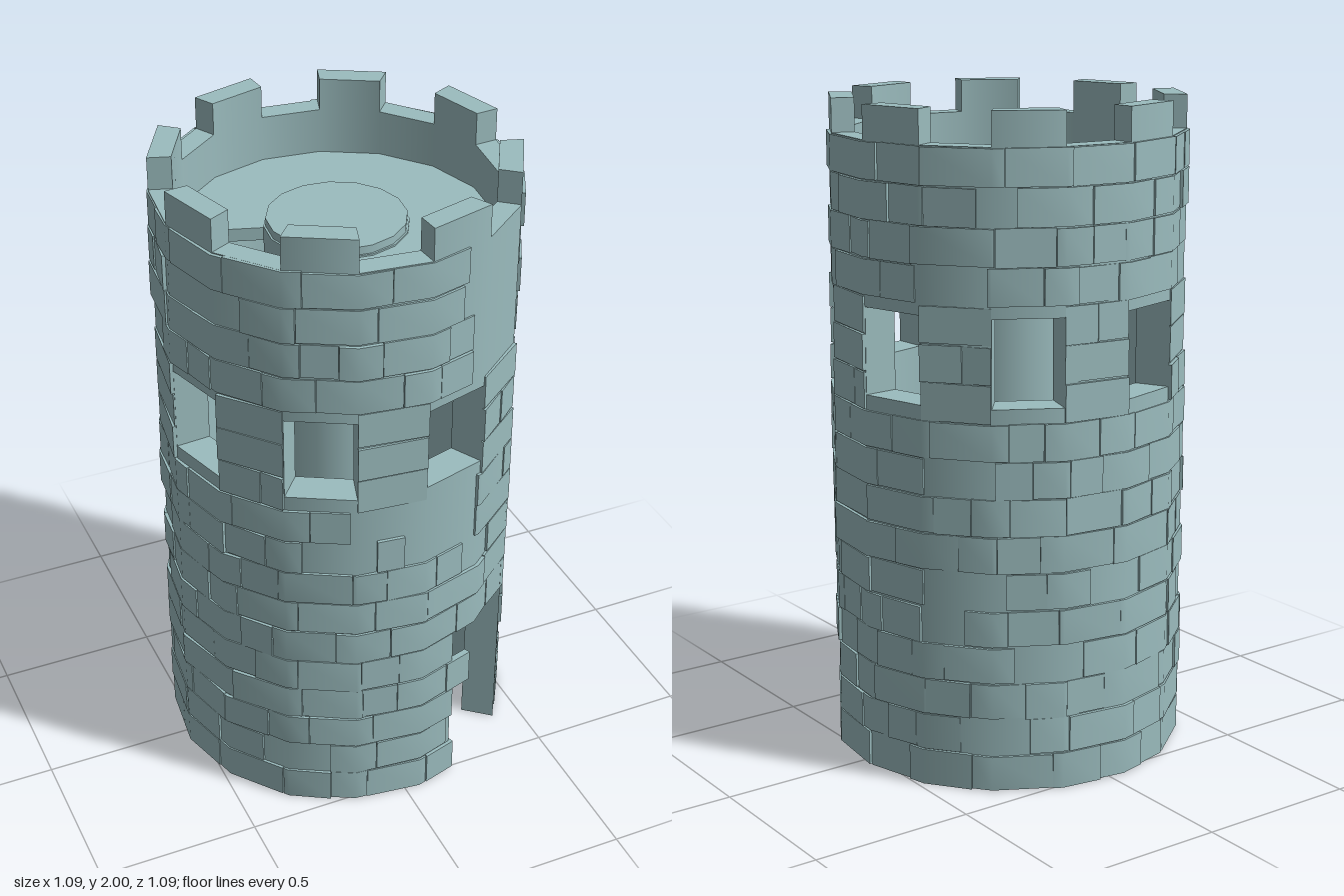
import * as THREE from 'three';
import { mergeGeometries, toCreasedNormals } from 'three/addons/utils/BufferGeometryUtils.js';

const SIDES = 16, STEP = 360 / SIDES, OFFSET = 5; // degrees, counter-clockwise seen from above
const OUT = 0.536, IN = 0.43, PARAPET_IN = 0.466;
const rad = THREE.MathUtils.degToRad;

// corner k of the sixteen-sided plan
const corner = k => OFFSET + STEP * k;

// point on the sixteen-sided outline at any angle
function onPlan(angle, r, push = 0) {
  const local = ((((angle - OFFSET) % STEP) + STEP) % STEP) - STEP / 2;
  const d = r * Math.cos(rad(STEP / 2)) / Math.cos(rad(local)) + push;
  return new THREE.Vector2(d * Math.cos(rad(angle)), d * Math.sin(rad(angle)));
}

// both ends of an arc plus every plan corner between them
function arcAngles(a0, a1) {
  const list = [a0];
  for (let k = Math.ceil((a0 - OFFSET) / STEP); corner(k) < a1 - 0.01; k++)
    if (corner(k) > a0 + 0.01) list.push(corner(k));
  return [...list, a1];
}

function extrudeUp(shape, y0, y1) {
  return new THREE.ExtrudeGeometry(shape, { depth: y1 - y0, bevelEnabled: false })
    .rotateX(-Math.PI / 2).translate(0, y0, 0);
}

// curved block between two angles; the outer face may be pushed out unevenly
function block(a0, a1, r0, r1, y0, y1, push0 = 0, push1 = 0) {
  const angles = arcAngles(a0, a1);
  const outer = angles.map(a => onPlan(a, r1, push0 + (push1 - push0) * (a - a0) / (a1 - a0)));
  const inner = angles.map(a => onPlan(a, r0)).reverse();
  return extrudeUp(new THREE.Shape([...outer, ...inner]), y0, y1);
}

const circle = r => Array.from({ length: SIDES }, (_, k) => onPlan(corner(k), r));

function ring(r0, r1, y0, y1) {
  const shape = new THREE.Shape(circle(r1));
  if (r0 > 0) shape.holes.push(new THREE.Path(circle(r0)));
  return extrudeUp(shape, y0, y1);
}

// round off shading on faces that point towards or away from the axis
function smoothRound(geo) {
  const p = geo.attributes.position, n = geo.attributes.normal;
  for (let i = 0; i < p.count; i++) {
    const len = Math.hypot(p.getX(i), p.getZ(i)) || 1;
    const x = p.getX(i) / len, z = p.getZ(i) / len;
    const dot = n.getX(i) * x + n.getZ(i) * z;
    if (Math.abs(dot) > 0.9) n.setXYZ(i, x * Math.sign(dot), 0, z * Math.sign(dot));
  }
  return geo;
}

export function createModel() {
  const tower = new THREE.Group();
  tower.name = 'tower';
  const stone = new THREE.MeshStandardMaterial({ color: 0x9bbcbe });
  stone.name = 'paleStone';
  const add = (name, parts) => {
    const mesh = new THREE.Mesh(mergeGeometries(parts), stone);
    mesh.name = name;
    tower.add(mesh);
  };

  // hollow shaft: doorway, plain wall, window band, upper wall
  const doorLeft = 288.5, doorRight = corner(14);
  add('doorwayWall', [smoothRound(block(doorRight, doorLeft + 360, IN, OUT, 0, 0.568))]);
  add('middleWall', [smoothRound(ring(IN, OUT, 0.568, 1.16))]);
  const piers = [], merlons = [];
  for (let k = 0; k < SIDES; k += 2) {
    piers.push(smoothRound(block(corner(k + 1), corner(k + 2), IN, OUT, 1.16, 1.42)));
    merlons.push(smoothRound(block(corner(k), corner(k + 1), PARAPET_IN, OUT, 1.9, 2)));
  }
  add('windowPiers', piers);
  add('upperWall', [smoothRound(ring(IN, OUT, 1.42, 1.76))]);
  add('parapet', [smoothRound(ring(PARAPET_IN, OUT, 1.76, 1.9))]);
  add('merlons', merlons);

  // roof floor with a stair opening, and the central column
  add('roofFloor', [smoothRound(block(corner(9), corner(7) + 360, 0.2, IN + 0.004, 1.72, 1.76))]);
  add('column', [smoothRound(ring(0, 0.212, 0, 1.765))]);
  add('columnCap', [smoothRound(ring(0, 0.206, 1.765, 1.79))]);

  // facing stones, laid in courses with a little unevenness
  let seed = 7;
  const random = () => (seed = (seed * 16807) % 2147483647) / 2147483647;
  const pierSpans = Array.from({ length: 8 }, (_, i) => [corner(2 * i + 1), corner(2 * i + 2)]);
  function spansFor(row) {
    if (row < 5) return [[326 + 4 * random(), row === 3 ? 656 : 646 + 4 * random()]];
    if (row < 8) return [[310 + 20 * random(), 0]].map(([a]) => [a, a + 360]);
    if (row < 10) return [[296, 628]];
    if (row < 13) return pierSpans;
    return [[325 + 6 * random(), 646 + 7 * random()]];
  }
  const ROWS = 17, H = 1.9 / ROWS, stones = [];
  for (let row = 0; row < ROWS; row++) {
    for (const [from, to] of spansFor(row)) {
      for (let a = from; a < to - 1;) {
        let end = a + 11 + 16 * random();
        if (to - end < 7) end = to;
        const push0 = 0.002 + 0.01 * random(), push1 = 0.002 + 0.01 * random();
        if (random() > 0.07) {
          const y0 = row * H + 0.004 * random(), y1 = (row + 1) * H - 0.004 * random();
          stones.push(toCreasedNormals(
            block(a, end - 0.2, OUT - 0.012, OUT, y0, y1, push0, push1), 0.6));
        }
        a = end;
      }
    }
  }
  add('facingStones', stones);
  return tower;
}
